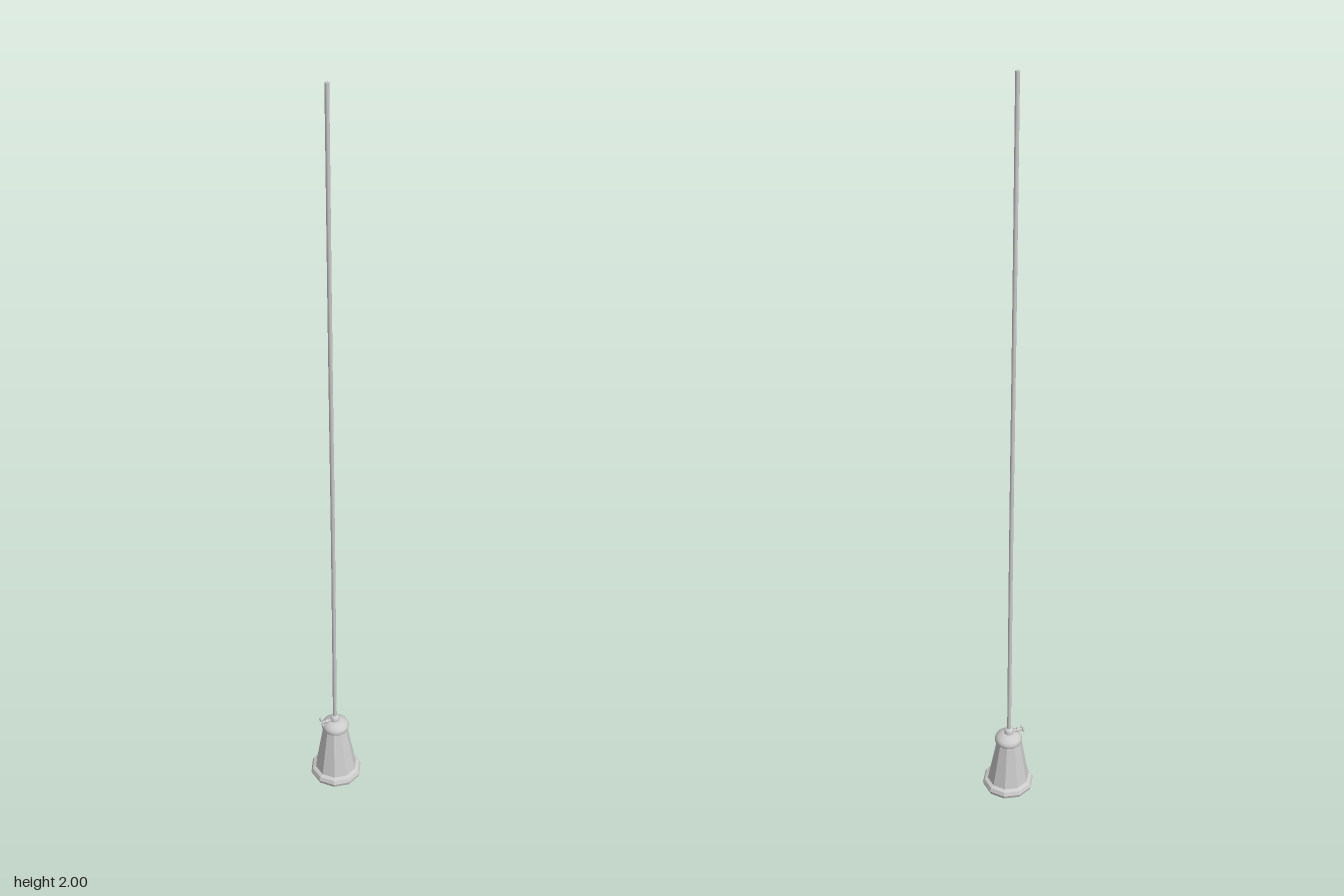
import * as THREE from 'three';

const V = (x, y, z) => new THREE.Vector3(x, y, z);

export function createModel() {
  const group = new THREE.Group();
  const smooth = new THREE.MeshStandardMaterial({ color: 0xcccccc, side: THREE.DoubleSide });
  const faceted = new THREE.MeshStandardMaterial({ color: 0xcccccc, side: THREE.DoubleSide, flatShading: true });
  const add = (name, geometry, material, x = 0, y = 0, z = 0) => {
    const mesh = new THREE.Mesh(geometry, material);
    mesh.name = name;
    mesh.position.set(x, y, z);
    group.add(mesh);
    return mesh;
  };
  const lathe = (points, sides) =>
    new THREE.LatheGeometry(points.map(([r, y]) => new THREE.Vector2(r, y)), sides);

  // Hollow ten-sided shade with a rolled lip, outside then back up the inside
  const shade = add('shade', lathe([
    [0.026, 0.165], [0.031, 0.163], [0.054, 0.028], [0.063, 0.024], [0.067, 0.014],
    [0.064, 0.004], [0.058, 0], [0.054, 0.006], [0.05, 0.026], [0.027, 0.156],
  ], 10), faceted);
  // Lean the upper end very slightly towards the cord
  const p = shade.geometry.attributes.position;
  for (let i = 0; i < p.count; i++) p.setX(i, p.getX(i) - 0.025 * p.getY(i));
  shade.geometry.computeVertexNormals();

  // Rounded cap closing the shade
  add('cap', lathe([
    [0, 0.153], [0.031, 0.155], [0.035, 0.16], [0.035, 0.168], [0.032, 0.174],
    [0.026, 0.179], [0.018, 0.183], [0.012, 0.185], [0, 0.186],
  ], 24), smooth, -0.005, 0, -0.003);

  // Cord grip
  add('cordGrip', lathe([
    [0.012, 0.182], [0.012, 0.194], [0.009, 0.199], [0, 0.201],
  ], 16), smooth, -0.006, 0, -0.002);

  // Long cord, drifting forward towards its top
  const path = new THREE.CatmullRomCurve3([
    V(-0.006, 0.19, -0.002), V(-0.006, 0.8, 0.005), V(-0.007, 1.4, 0.013), V(-0.007, 2, 0.021),
  ]);
  add('cord', new THREE.TubeGeometry(path, 16, 0.005, 8), smooth);
  add('cordEnd', new THREE.CylinderGeometry(0.005, 0.005, 0.004, 8), smooth, -0.007, 1.998, 0.021);

  // Small twist switch on the shoulder of the cap: stem, collar and winged key
  const key = new THREE.Group();
  key.name = 'switchKey';
  key.position.set(-0.006, 0.188, 0);
  key.rotation.y = -0.5;
  const keyPart = (name, geometry, x, y, z) => {
    const mesh = new THREE.Mesh(geometry, smooth);
    mesh.name = name;
    mesh.position.set(x, y, z);
    key.add(mesh);
    return mesh;
  };
  keyPart('keyStem', new THREE.CylinderGeometry(0.0035, 0.0035, 0.034, 8), 0, 0, 0.017).rotation.x = Math.PI / 2;
  keyPart('keyCollar', new THREE.CylinderGeometry(0.0055, 0.0055, 0.006, 10), 0, 0, 0.022).rotation.x = Math.PI / 2;
  for (const side of [-1, 1]) {
    const wing = keyPart('keyWing', new THREE.SphereGeometry(0.0065, 10, 8), side * 0.007, side * -0.003, 0.035);
    wing.scale.set(1.1, 0.8, 0.5);
  }
  group.add(key);
  return group;
}
